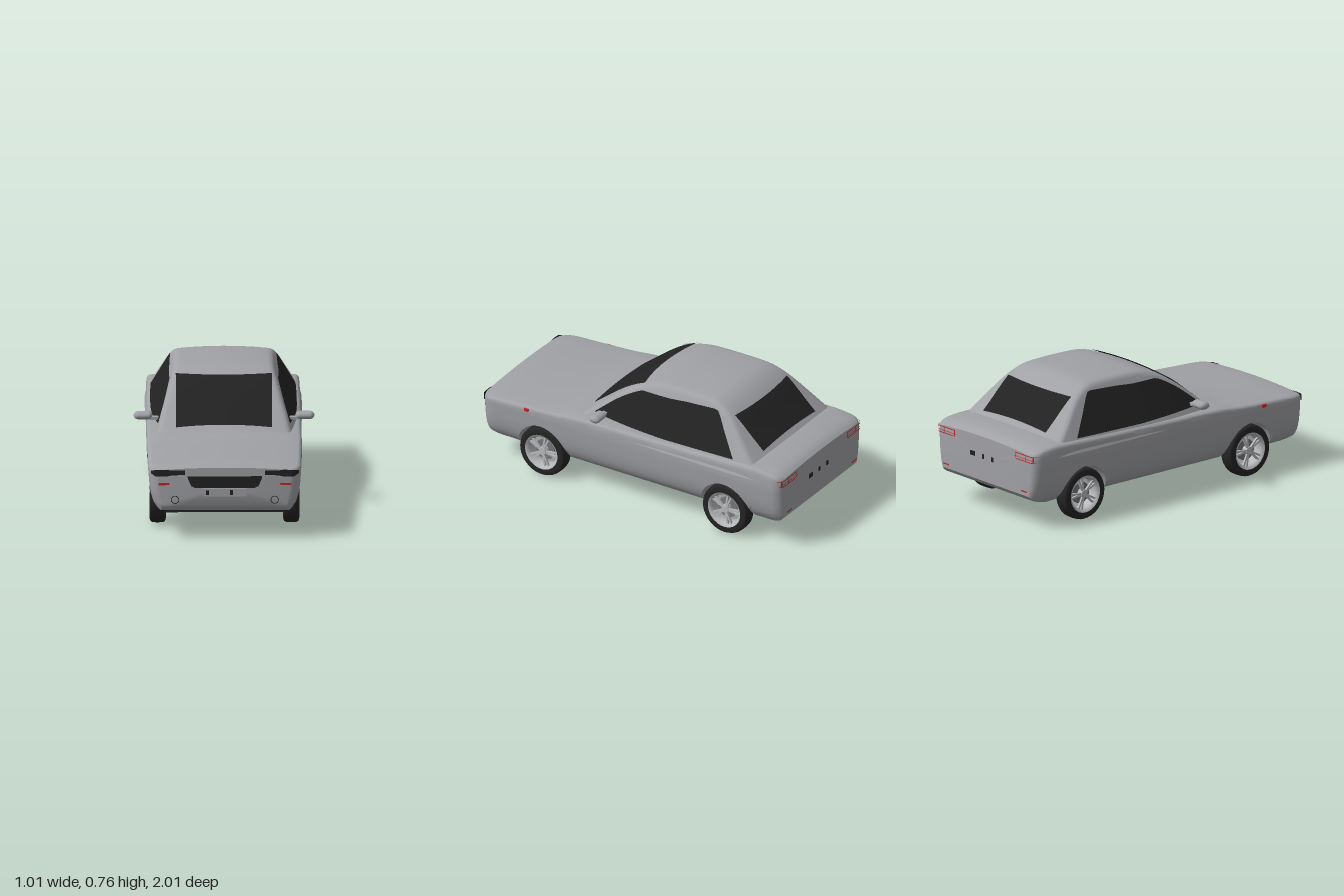
import * as THREE from 'three';
import { toCreasedNormals } from 'three/addons/utils/BufferGeometryUtils.js';

const mat = (name, color, side = THREE.FrontSide) => {
  const m = new THREE.MeshStandardMaterial({ color, side });
  m.name = name;
  return m;
};

// Smooth (Hermite) or straight interpolation through [position, value] pairs
function curve(p, smooth = true) {
  const slope = (i) => {
    const a = p[Math.max(i - 1, 0)], b = p[Math.min(i + 1, p.length - 1)];
    return (b[1] - a[1]) / (b[0] - a[0]);
  };
  return (x) => {
    if (x <= p[0][0]) return p[0][1];
    if (x >= p[p.length - 1][0]) return p[p.length - 1][1];
    let i = 0;
    while (x > p[i + 1][0]) i++;
    const d = p[i + 1][0] - p[i][0], t = (x - p[i][0]) / d, t2 = t * t, t3 = t2 * t;
    if (!smooth) return p[i][1] + t * (p[i + 1][1] - p[i][1]);
    return (2 * t3 - 3 * t2 + 1) * p[i][1] + (t3 - 2 * t2 + t) * d * slope(i)
      + (3 * t2 - 2 * t3) * p[i + 1][1] + (t3 - t2) * d * slope(i + 1);
  };
}

// Body: half width by height, plan rounding at both ends, deck height, underside
const FULL = 0.437;
const flank = curve([[0.1, 0.22], [0.115, 0.3], [0.135, 0.35], [0.16, 0.385], [0.2, 0.41], [0.25, 0.424],
  [0.3, 0.431], [0.38, FULL], [0.44, 0.435], [0.5, 0.425]], false);
const ends = { 1: { z: 0.9, len: 0.1, w: 0.37, full: 0.43 }, [-1]: { z: 0.93, len: 0.07, w: 0.385, full: 0.432 } };
const planWidth = (z) => {
  const e = ends[z >= 0 ? 1 : -1], a = Math.abs(z);
  if (a <= e.z) return FULL + (e.full - FULL) * Math.max(0, (a - 0.4) / (e.z - 0.4));
  return e.w + (e.full - e.w) * Math.sqrt(Math.max(0, 1 - ((a - e.z) / e.len) ** 2));
};
const endZ = (x, y, dir) => {
  const e = ends[dir], w = Math.abs(x) * FULL / flank(y);
  if (w <= e.w) return dir;
  return dir * (e.z + e.len * Math.sqrt(Math.max(0, 1 - ((w - e.w) / (e.full - e.w)) ** 2)));
};
const deck = curve([[-1, 0.46], [-0.97, 0.478], [-0.92, 0.49], [-0.82, 0.497], [-0.4, 0.485], [0, 0.475],
  [0.37, 0.465], [0.5, 0.45], [0.7, 0.438], [0.9, 0.428], [0.98, 0.418], [1, 0.41]]);
const underside = curve([[-1, 0.2], [-0.97, 0.17], [-0.795, 0.115], [-0.78, 0.1], [0.76, 0.1], [0.775, 0.11],
  [0.96, 0.155], [0.985, 0.165], [1, 0.19]], false);
const AXLES = [0.6, -0.62], ARCH = 0.175;
const floorY = (z) => Math.max(underside(z), ...AXLES.map((c) => {
  const d = (z - c) / ARCH;
  return Math.abs(d) <= 1 ? 0.11 + 0.21 * Math.sqrt(Math.max(0, 1 - d * d)) : 0;
}));

// Cabin: roof line along z, half width at the belt, sides leaning in
const roof = curve([[-0.86, 0.45], [-0.81, 0.497], [-0.72, 0.58], [-0.61, 0.682], [-0.53, 0.733], [-0.45, 0.753],
  [-0.18, 0.754], [-0.07, 0.742], [0.03, 0.708], [0.14, 0.645], [0.27, 0.545], [0.37, 0.468], [0.41, 0.44]]);
const belt = curve([[-0.86, 0.4], [-0.7, 0.41], [-0.3, 0.411], [0, 0.405], [0.2, 0.385], [0.41, 0.355]]);
const cabinX = (y, z) => belt(z) - 0.5 * (y - 0.47);
const cabinTop = (x, z) => roof(z) - 0.2 * x * x;
const cabinR = (z) => Math.min(0.025, (roof(z) - 0.42) * 0.4);
const cabinEdge = (z) => cabinTop(cabinX(roof(z) - 0.02, z), z) - cabinR(z);

// Closed cross-section: floor, flank, rounded shoulder, crowned top, mirrored
function section(z, bottom, sideX, topY, r) {
  const h = [];
  for (let i = 0; i < 4; i++) h.push([sideX(bottom) * i / 4, bottom]);
  const yc = topY(sideX(topY(0) - 0.02)), xc = sideX(yc), ys = yc - r;
  for (let i = 0; i < 14; i++) { const y = bottom + (ys - bottom) * i / 14; h.push([sideX(y), y]); }
  const a = [sideX(ys), ys], xt = xc - 1.2 * r, b = [xt, topY(xt)];
  for (let i = 0; i <= 5; i++) {
    const t = i / 5, s = 1 - t;
    h.push([s * s * a[0] + 2 * s * t * xc + t * t * b[0], s * s * a[1] + 2 * s * t * yc + t * t * b[1]]);
  }
  for (let i = 1; i <= 6; i++) { const x = xt * (1 - i / 6); h.push([x, topY(x)]); }
  const mirrored = h.slice(1, -1).reverse().map(([x, y]) => [-x, y]);
  return [...h, ...mirrored].map(([x, y]) => [x, y, z]);
}

// Skin over rings ordered from front to back, capped at both ends
function loft(rings) {
  const n = rings[0].length, pos = rings.flat(2), idx = [];
  for (let i = 0; i < rings.length - 1; i++) for (let j = 0; j < n; j++) {
    const a = i * n + j, b = i * n + (j + 1) % n;
    idx.push(a, a + n, b, b, a + n, b + n);
  }
  [0, rings.length - 1].forEach((ri, k) => {
    const ys = rings[ri].map((p) => p[1]), c = pos.length / 3;
    pos.push(0, (Math.min(...ys) + Math.max(...ys)) / 2, rings[ri][0][2]);
    for (let j = 0; j < n; j++) {
      const a = ri * n + j, b = ri * n + (j + 1) % n;
      if (k) idx.push(c, b, a); else idx.push(c, a, b);
    }
  });
  const g = new THREE.BufferGeometry();
  g.setAttribute('position', new THREE.Float32BufferAttribute(pos, 3));
  g.setIndex(idx);
  return toCreasedNormals(g, 0.6);
}

// Thin surface from a rule f(u, v) -> [x, y, z]
function patch(f, nu = 16, nv = 6) {
  const g = new THREE.PlaneGeometry(1, 1, nu, nv), p = g.attributes.position;
  for (let i = 0; i < p.count; i++) p.setXYZ(i, ...f(p.getX(i) + 0.5, p.getY(i) + 0.5));
  g.computeVertexNormals();
  return g;
}

// Patch lying on the nose (dir 1) or tail (dir -1), from columns [x, low, high]
function endPatch(cols, dir) {
  const lo = curve(cols.map((c) => [c[0], c[1]]), false), hi = curve(cols.map((c) => [c[0], c[2]]), false);
  const x0 = cols[0][0], x1 = cols[cols.length - 1][0];
  return patch((u, v) => {
    const x = x0 + (x1 - x0) * u, y = lo(x) + (hi(x) - lo(x)) * v;
    const out = Math.abs(x) > 0.34 ? 0.004 * Math.sign(x) : 0;
    return [x + out, y, endZ(x, y, dir) + 0.005 * dir];
  }, 20, 3);
}

export function createModel() {
  const car = new THREE.Group();
  car.name = 'car';
  const paint = mat('silver paint', 0xa0a1a5);
  const black = mat('black glass and trim', 0x222222, THREE.DoubleSide);
  const rubber = mat('tyre rubber', 0x242424);
  const alloy = mat('alloy', 0xb8b9bc, THREE.DoubleSide);
  const steel = mat('brake steel', 0x77787c);
  const red = mat('red lens', 0xd02020, THREE.DoubleSide);
  const add = (parent, name, geo, m, x = 0, y = 0, z = 0) => {
    const mesh = new THREE.Mesh(geo, m);
    mesh.name = name;
    mesh.position.set(x, y, z);
    parent.add(mesh);
    return mesh;
  };

  // Lower body, with stations packed at the wheel arches and the rounded ends
  const zs = [];
  for (let i = -21; i <= 21; i++) {
    const z = i * 0.042;
    if (AXLES.every((c) => Math.abs(z - c) > ARCH + 0.008)) zs.push(z);
  }
  for (const c of AXLES) {
    for (let i = 0; i <= 20; i++) zs.push(c + ARCH * Math.cos(Math.PI * i / 20));
    zs.push(c + ARCH + 0.003, c - ARCH - 0.003);
  }
  for (const d of [1, -1]) for (let i = 0; i <= 8; i++)
    zs.push(d * (ends[d].z + ends[d].len * Math.sin(Math.PI / 2 * i / 8)));
  zs.sort((a, b) => b - a);
  add(car, 'body', loft(zs.map((z) => section(z, floorY(z), (y) => flank(y) * planWidth(z) / FULL,
    (x) => deck(z) - 0.1 * x * x, 0.02))), paint);

  // Cabin and its glass
  const cabin = [];
  for (let i = 0; i <= 64; i++) {
    const z = 0.41 - 1.27 * i / 64;
    cabin.push(section(z, 0.41, (y) => cabinX(y, z), (x) => cabinTop(x, z), cabinR(z)));
  }
  add(car, 'cabin', loft(cabin), paint);
  const screen = (low, high, bow, dz) => patch((u, v) => {
    const x = (u - 0.5) * 0.54, top = high + bow * (x / 0.27) ** 2, z = low + (top - low) * v;
    return [x, cabinTop(x, z) + 0.005, z + dz];
  }, 16, 20);
  add(car, 'windscreen', screen(0.34, 0.035, -0.035, 0.003), black);
  add(car, 'rearWindow', screen(-0.785, -0.615, 0.02, -0.003), black);
  const winTop = curve([[-0.67, 0.488], [-0.58, 0.604], [-0.51, 0.7], [-0.48, 0.705], [-0.3, 0.695], [-0.18, 0.684],
    [0, 0.68], [0.075, 0.667], [0.166, 0.612], [0.27, 0.495]], false);
  const winLow = curve([[-0.67, 0.486], [-0.2, 0.477], [0.27, 0.487]], false);
  const sideGlass = patch((u, v) => {
    const z = 0.27 - 0.94 * u, lo = winLow(z), y = lo + (Math.max(lo, Math.min(winTop(z), cabinEdge(z))) - lo) * v;
    return [cabinX(y, z) + 0.005, y, z];
  }, 40, 6);

  // Nose and tail trim on the centre line
  add(car, 'grille', endPatch([[-0.21, 0.355, 0.362], [-0.185, 0.295, 0.362], [0.185, 0.295, 0.362], [0.21, 0.355, 0.362]], 1), black);
  add(car, 'bumperSlot', new THREE.BoxGeometry(0.66, 0.012, 0.02), black, 0, 0.152, 0.962);
  add(car, 'frontPlate', new THREE.BoxGeometry(0.245, 0.046, 0.006), paint, 0, 0.269, 1.001);
  for (const x of [-0.097, 0.037]) add(car, 'frontPlateClip', new THREE.BoxGeometry(0.018, 0.026, 0.006), black, x, 0.268, 1.003);
  for (const x of [0.12, 0.1, 0.02, -0.06]) add(car, 'rearPlateClip', new THREE.BoxGeometry(0.016, 0.026, 0.006), black, x, 0.345, -1.001);

  // Wheel shared by all four corners, outer side towards +x
  const v2 = (a) => a.map(([x, y]) => new THREE.Vector2(x, y));
  const tyre = toCreasedNormals(new THREE.LatheGeometry(v2([[0.1, -0.04], [0.13, -0.045], [0.143, -0.04], [0.149, -0.028], [0.15, -0.01],
    [0.15, 0.01], [0.149, 0.028], [0.143, 0.04], [0.13, 0.045], [0.104, 0.04], [0.1, -0.04]]), 40), 0.6);
  const rim = new THREE.LatheGeometry(v2([[0.104, -0.042], [0.09, -0.03], [0.086, 0], [0.088, 0.025], [0.096, 0.038], [0.108, 0.044]]), 40);
  const makeWheel = () => {
    const w = new THREE.Group();
    w.name = 'wheel';
    w.rotation.z = -Math.PI / 2;
    add(w, 'tyre', tyre, rubber);
    add(w, 'rim', rim, alloy);
    add(w, 'brakeDisc', new THREE.CylinderGeometry(0.062, 0.062, 0.012, 28), steel, 0, -0.002, 0);
    add(w, 'hub', new THREE.CylinderGeometry(0.022, 0.028, 0.05, 20), alloy, 0, 0.012, 0);
    for (let i = 0; i < 5; i++) for (const s of [-1, 1]) {
      const arm = new THREE.Group();
      arm.name = 'spoke';
      arm.rotation.y = Math.PI / 2 + i * Math.PI * 0.4 + s * 0.13;
      add(arm, 'spokeBar', new THREE.BoxGeometry(0.078, 0.012, 0.011), alloy, 0.054, 0.028, 0);
      w.add(arm);
    }
    return w;
  };

  // Everything paired left and right
  for (const s of [1, -1]) {
    const half = new THREE.Group();
    half.name = s > 0 ? 'leftSide' : 'rightSide';
    half.scale.x = s;
    car.add(half);
    add(half, 'sideWindow', sideGlass, black);
    for (const z of AXLES) {
      const w = makeWheel();
      w.position.set(0.375, 0.15, z);
      half.add(w);
    }
    const shell = new THREE.CapsuleGeometry(0.0225, 0.06, 8, 20).rotateZ(Math.PI / 2).scale(1, 1, 1.5);
    add(half, 'mirror', shell, paint, 0.455, 0.517, 0.2);
    add(half, 'mirrorStalk', new THREE.BoxGeometry(0.06, 0.016, 0.03), paint, 0.39, 0.503, 0.205);
    add(half, 'headlight', endPatch([[0.225, 0.37, 0.395], [0.3, 0.367, 0.395], [0.33, 0.36, 0.4], [0.385, 0.36, 0.398], [0.412, 0.374, 0.39]], 1), black);
    add(half, 'frontReflector', endPatch([[0.31, 0.314, 0.323], [0.335, 0.31, 0.323], [0.37, 0.31, 0.323]], 1), red);
    add(half, 'fogLightRing', new THREE.TorusGeometry(0.021, 0.002, 6, 28), black, 0.28, 0.225, 1.001);
    add(half, 'sideMarker', new THREE.BoxGeometry(0.008, 0.018, 0.03), red, 0.432, 0.402, 0.69);
    // Tail lamp drawn as a red frame with a divider
    for (const [x0, x1, lo, hi] of [[0.26, 0.42, 0.438, 0.443], [0.25, 0.41, 0.418, 0.421], [0.27, 0.415, 0.403, 0.408],
      [0.26, 0.266, 0.405, 0.44], [0.345, 0.35, 0.405, 0.44], [0.4, 0.407, 0.405, 0.44]])
      add(half, 'tailLampLine', endPatch([[x0, lo, hi], [x1, lo, hi]], -1), red);
    add(half, 'rearReflector', endPatch([[0.31, 0.222, 0.23], [0.36, 0.222, 0.23]], -1), red);
  }
  return car;
}
